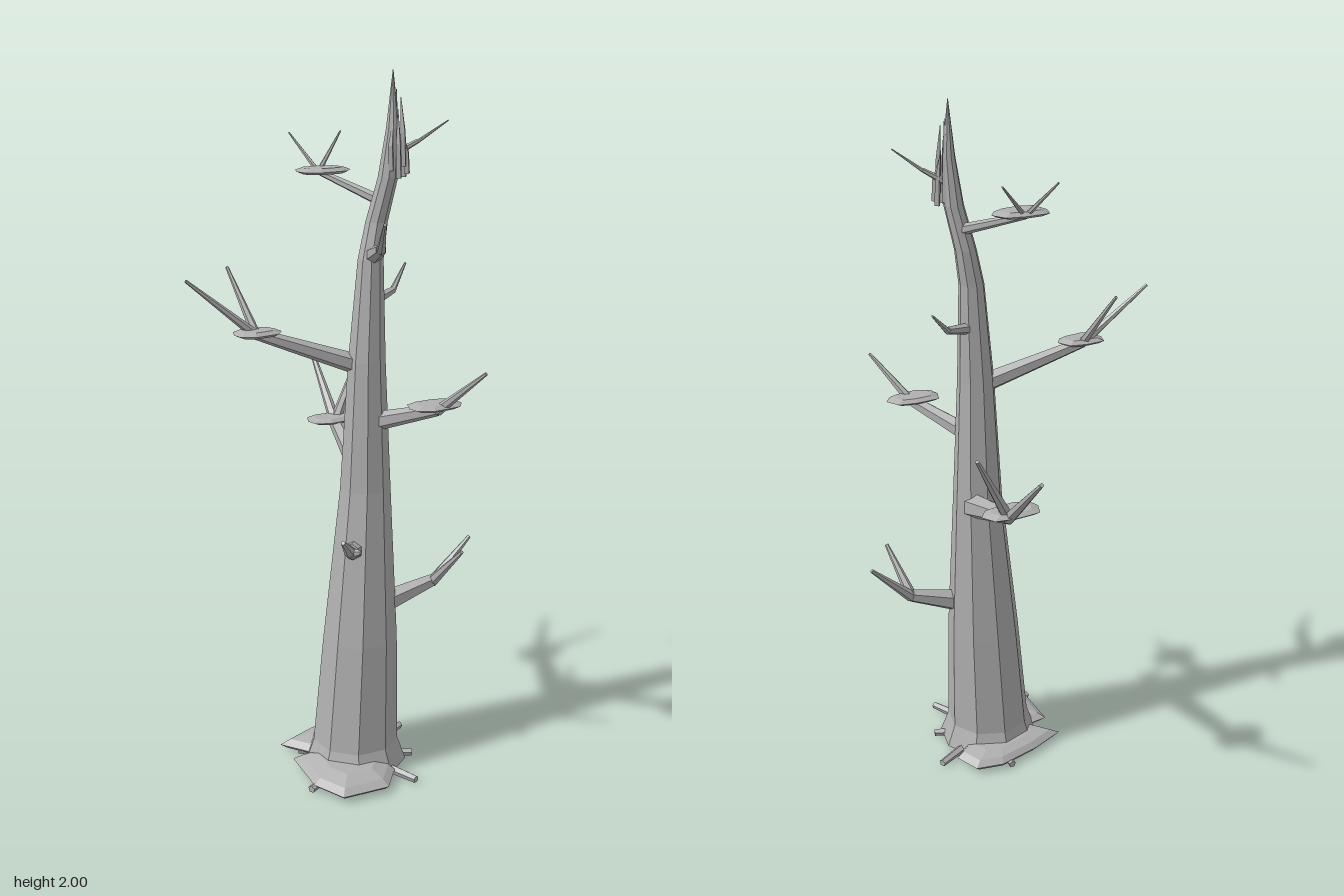
import * as THREE from 'three';

const bark = new THREE.MeshStandardMaterial({ color: 0xb0b0b0, flatShading: true });
bark.name = 'grey bark';

// Closes a stack of equal-length rings into a faceted solid
function skin(rings, name) {
  const n = rings[0].length, pos = [], idx = [];
  rings.forEach(r => r.forEach(p => pos.push(p.x, p.y, p.z)));
  for (let i = 0; i < rings.length - 1; i++) {
    for (let k = 0; k < n; k++) {
      const a = i * n + k, b = i * n + (k + 1) % n;
      idx.push(a, b, b + n, a, b + n, a + n);
    }
  }
  const last = (rings.length - 1) * n;
  for (let k = 1; k < n - 1; k++) {
    idx.push(0, k + 1, k, last, last + k, last + k + 1);
  }
  const g = new THREE.BufferGeometry();
  g.setAttribute('position', new THREE.Float32BufferAttribute(pos, 3));
  g.setIndex(idx);
  const flat = g.toNonIndexed();
  flat.computeVertexNormals();
  const mesh = new THREE.Mesh(flat, bark);
  mesh.name = name;
  return mesh;
}

// Tapered limb through points [x, y, z, radius]
function limb(points, sides, name) {
  const v = points.map(p => new THREE.Vector3(p[0], p[1], p[2]));
  const rings = v.map((c, i) => {
    const t = v[Math.min(i + 1, v.length - 1)].clone().sub(v[Math.max(i - 1, 0)]).normalize();
    const ref = Math.abs(t.y) > 0.95 ? new THREE.Vector3(0, 0, 1) : new THREE.Vector3(0, 1, 0);
    const u = ref.addScaledVector(t, -ref.dot(t)).normalize();
    const w = t.clone().cross(u);
    return Array.from({ length: sides }, (_, k) => {
      const a = k / sides * Math.PI * 2, r = points[i][3];
      return c.clone().addScaledVector(u, Math.cos(a) * r).addScaledVector(w, Math.sin(a) * r);
    });
  });
  return skin(rings, name);
}

// Thin slab with a bevelled rim from an [x, z] outline; levels are [y, scale]
function slab(outline, cx, cz, levels, name) {
  return skin(levels.map(([y, s]) => outline.map(([x, z]) =>
    new THREE.Vector3(cx + (x - cx) * s, y, cz + (z - cz) * s))), name);
}

export function createModel() {
  const tree = new THREE.Group();
  tree.name = 'deadTree';

  // Trunk: [y, x, z, radius], leaning and ending in a point
  const profile = [
    [0.012, 0.03, 0.13, 0.15], [0.08, 0.03, 0.128, 0.126], [0.4, 0.047, 0.123, 0.109],
    [0.85, 0.07, 0.11, 0.073], [1.22, 0.075, 0.105, 0.053], [1.5, 0.088, 0.1, 0.036],
    [1.6, 0.106, 0.1, 0.031], [1.72, 0.13, 0.117, 0.028], [1.85, 0.14, 0.122, 0.018],
    [2.0, 0.142, 0.118, 0.001]];
  const sides = 9;
  tree.add(skin(profile.map(([y, x, z, r]) => Array.from({ length: sides }, (_, k) => {
    const a = k / sides * Math.PI * 2 + 0.2;
    return new THREE.Vector3(x + Math.sin(a) * r, y, z + Math.cos(a) * r);
  })), 'trunk'));

  // Ground plates around the foot
  tree.add(slab([[0, 0.35], [0.07, 0.28], [0.08, 0.15], [0, 0.07], [-0.15, 0.07],
    [-0.175, 0.23], [-0.14, 0.33]], -0.03, 0.2,
  [[0.012, 0.9], [0.025, 1], [0.04, 0.85], [0.055, 0.55]], 'frontGroundPlate'));
  tree.add(slab([[0.05, 0.14], [0.2, 0.04], [0.18, -0.04], [0.1, -0.065], [-0.03, -0.05],
    [-0.14, -0.02], [-0.09, 0.06]], 0.05, 0.04,
  [[0.012, 0.9], [0.025, 1], [0.04, 0.85], [0.05, 0.55]], 'backGroundPlate'));

  // Roots
  [[-0.185, 0.23], [0.245, 0.055], [0.1, 0.345], [0.18, 0.21], [-0.1, 0.02], [0.07, -0.07]]
    .forEach(([x, z]) => tree.add(limb(
      [[0.03, 0.018, 0.13, 0.017], [x, 0.015, z, 0.011]], 5, 'root')));

  // Branches: start, elbow, twig tips, and optional shelf [x, y, z, rx, rz]
  const branches = [
    { name: 'rightLongBranch', from: [0.07, 1.2, 0.1, 0.03], to: [-0.21, 1.305, -0.01, 0.016],
      tips: [[-0.39, 1.46, -0.07], [-0.225, 1.47, -0.143]], shelf: [-0.212, 1.31, 0, 0.068, 0.045] },
    { name: 'backBranch', from: [0.1, 0.84, 0.08, 0.038], to: [0.18, 0.945, -0.22, 0.021],
      tips: [[0.223, 1.13, -0.435], [0.303, 1.15, -0.26]], shelf: [0.17, 0.955, -0.215, 0.085, 0.047] },
    { name: 'frontBranch', from: [0.085, 1.045, 0.13, 0.028], to: [0.17, 1.11, 0.31, 0.017],
      tips: [[0.235, 1.23, 0.435]], shelf: [0.17, 1.12, 0.3, 0.08, 0.047] },
    { name: 'upperBackBranch', from: [0.12, 1.655, 0.1, 0.016], to: [0.04, 1.72, -0.09, 0.009],
      tips: [[0.005, 1.82, -0.19], [0.15, 1.82, -0.15]], shelf: [0.042, 1.725, -0.07, 0.08, 0.05] },
    { name: 'smallLeftBranch', from: [0.09, 1.375, 0.095, 0.018], to: [0.19, 1.395, 0.06, 0.011],
      tips: [[0.262, 1.46, 0.02]] },
    { name: 'upperFrontBranch', from: [0.09, 1.51, 0.11, 0.024], to: [0.03, 1.55, 0.235, 0.015],
      tips: [[-0.017, 1.63, 0.32]] },
    { name: 'frontRightStub', from: [0.03, 0.675, 0.13, 0.035], to: [-0.025, 0.695, 0.185, 0.022],
      tips: [[-0.07, 0.74, 0.213], [-0.012, 0.7, 0.215]] },
    { name: 'lowerLeftBranch', from: [0.1, 0.495, 0.15, 0.037], to: [0.26, 0.545, 0.185, 0.02],
      tips: [[0.385, 0.66, 0.195], [0.275, 0.67, 0.303]] },
    { name: 'topTwig', from: [0.145, 1.78, 0.125, 0.01], to: [0.2, 1.815, 0.155, 0.006],
      tips: [[0.267, 1.87, 0.2]] }];
  branches.forEach(b => {
    const g = new THREE.Group();
    g.name = b.name;
    const r = b.to[3];
    g.add(limb([b.from, b.to], 6, 'branch'));
    b.tips.forEach(t => g.add(limb(
      [[b.to[0], b.to[1] - r * 0.2, b.to[2], r * 0.85], [...t, r * 0.28]], 6, 'twig')));
    if (b.shelf) {
      const [x, y, z, rx, rz] = b.shelf;
      const outline = [[-0.45, 1], [0.65, 0.95], [1, 0.3], [0.8, -0.6], [0.1, -0.95],
        [-0.75, -1], [-1, -0.15], [-0.95, 0.5]].map(([u, w]) => [x + u * rx, z + w * rz]);
      g.add(slab(outline, x, z, [[y - 0.008, 0.75], [y, 1], [y + 0.009, 0.7]], 'shelf'));
    }
    tree.add(g);
  });

  // Splinters around the broken tip
  [[0.125, 0.14, 1.74, 1.87], [0.14, 0.155, 1.72, 1.9], [0.158, 0.15, 1.75, 1.93],
    [0.17, 0.135, 1.72, 1.86], [0.155, 0.12, 1.73, 1.95], [0.17, 0.15, 1.73, 1.84]]
    .forEach(([x, z, y0, y1]) => tree.add(limb(
      [[x, y0, z, 0.009], [x - 0.003, (y0 + y1) / 2, z, 0.008],
        [x * 0.6 + 0.058, y1, z * 0.6 + 0.05, 0.001]], 4, 'splinter')));

  return tree;
}
